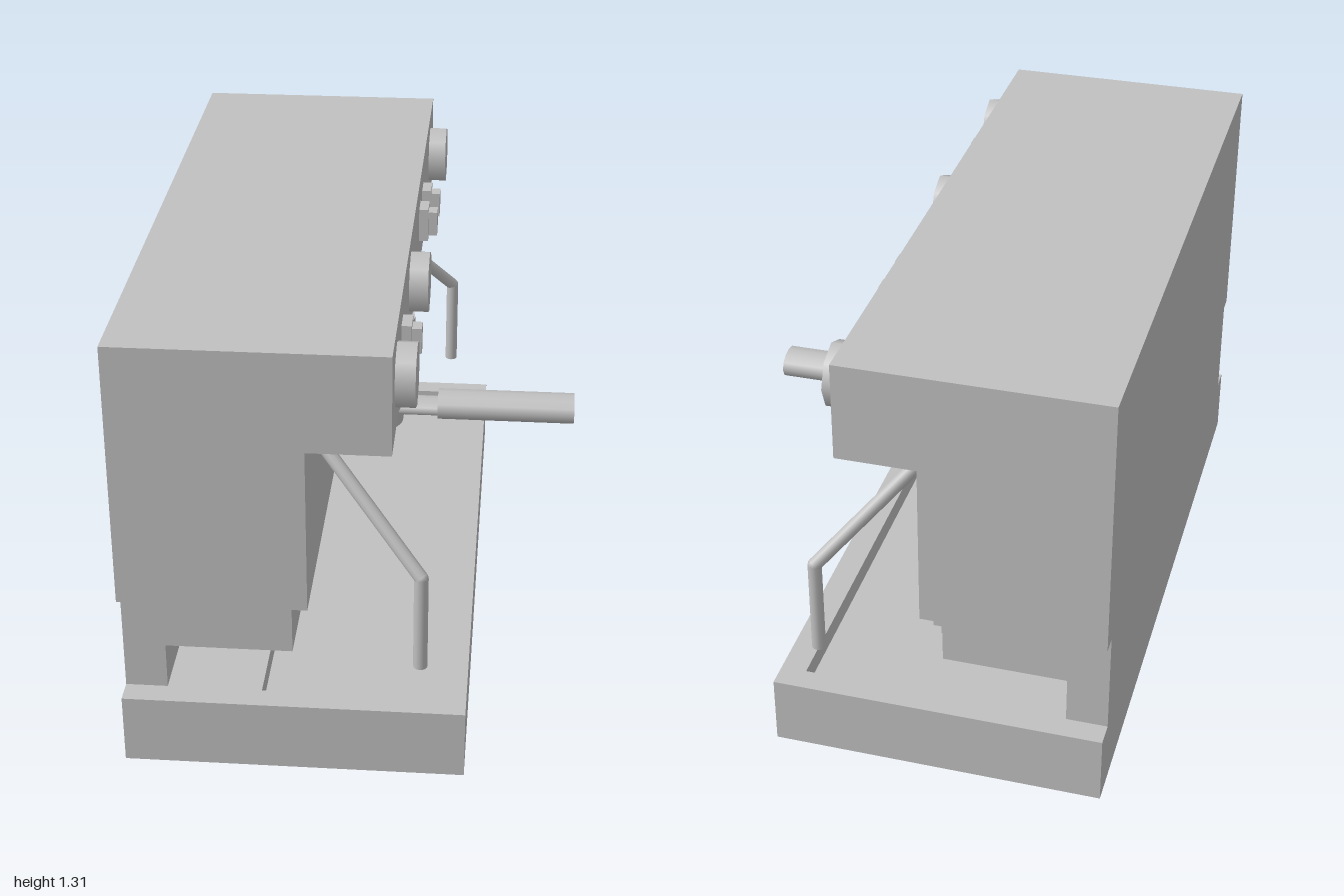
import * as THREE from 'three';

const steel = new THREE.MeshStandardMaterial({ color: 0xc0c0c0 });
steel.name = 'plain grey';

export function createModel() {
  const model = new THREE.Group();
  model.name = 'espressoMachine';

  const add = (name, geometry, parent = model) => {
    const mesh = new THREE.Mesh(geometry, steel);
    mesh.name = name;
    parent.add(mesh);
    return mesh;
  };
  // box given by its limits on each axis
  const box = (name, x0, x1, y0, y1, z0, z1, parent) => {
    const m = add(name, new THREE.BoxGeometry(x1 - x0, y1 - y0, z1 - z0), parent);
    m.position.set((x0 + x1) / 2, (y0 + y1) / 2, (z0 + z1) / 2);
    return m;
  };
  const polygon = (Type, points) => new Type(points.map(([x, y]) => new THREE.Vector2(x, y)));

  // base with a sunken drip tray
  box('baseBottom', -0.63, 0.34, 0, 0.15, -1, 1);
  const rim = polygon(THREE.Shape, [[-0.63, -1], [0.34, -1], [0.34, 1], [-0.63, 1]]);
  rim.holes.push(polygon(THREE.Path, [[-0.24, -0.93], [-0.24, 0.93], [0.265, 0.93], [0.265, -0.93]]));
  const rimMesh = add('dripTrayRim', new THREE.ExtrudeGeometry(rim, { depth: 0.06, bevelEnabled: false }));
  rimMesh.rotation.x = -Math.PI / 2;
  rimMesh.position.y = 0.15;

  // body: narrow foot, lower panel and overhanging housing
  box('backFoot', -0.63, -0.51, 0.21, 0.35, -0.93, 0.93);
  box('lowerPanel', -0.63, -0.15, 0.35, 0.525, -0.93, 0.93);
  const housing = polygon(THREE.Shape, [
    [-0.63, 0.525], [-0.1, 0.525], [-0.1, 1.02], [0.13, 1.02], [0.13, 1.31], [-0.63, 1.31],
  ]);
  add('housing', new THREE.ExtrudeGeometry(housing, { depth: 1.966, bevelEnabled: false })).position.z = -0.983;

  // octagonal knobs
  for (const z of [0.81, 0.22, -0.81]) {
    const knob = add('knob', new THREE.CylinderGeometry(0.093, 0.093, 0.055, 8));
    knob.rotation.z = -Math.PI / 2;
    knob.position.set(0.1575, 1.175, z);
  }

  // rocker switches: a plate and a raised button
  const addSwitch = (x, y, z, h, w, inset) => {
    const group = new THREE.Group();
    group.name = 'rockerSwitch';
    model.add(group);
    box('switchPlate', x, x + 0.028, y - h, y + h, z - w, z + w, group);
    box('switchButton', x + 0.028, x + 0.055, y - h + inset, y + h - inset, z - w + inset, z + w - inset, group);
  };
  for (const z of [0.597, -0.225, -0.38]) addSwitch(0.13, 1.178, z, 0.052, 0.037, 0.014);
  addSwitch(-0.15, 0.408, -0.793, 0.037, 0.054, 0.013);

  // brew group
  const brewGroup = new THREE.Group();
  brewGroup.name = 'brewGroup';
  model.add(brewGroup);
  const drum = (name, rTop, rBottom, y0, y1) => {
    const m = add(name, new THREE.CylinderGeometry(rTop, rBottom, y1 - y0, 20), brewGroup);
    m.position.set(0.023, (y0 + y1) / 2, 0);
  };
  drum('collar', 0.083, 0.083, 0.955, 1.02);
  drum('brewHead', 0.109, 0.109, 0.71, 0.955);
  drum('filterBasket', 0.088, 0.074, 0.595, 0.71);
  box('spout', 0, 0.046, 0.555, 0.595, -0.046, 0.046, brewGroup);

  // flattened handle
  const rod = (name, x0, x1, y, ry, rz) => {
    const m = add(name, new THREE.CylinderGeometry(1, 1, x1 - x0, 12), brewGroup);
    m.rotation.z = -Math.PI / 2;
    m.scale.set(ry, 1, rz);
    m.position.set((x0 + x1) / 2, y, 0);
  };
  rod('handleNeck', 0.085, 0.21, 0.65, 0.024, 0.05);
  rod('handleGrip', 0.207, 0.63, 0.658, 0.044, 0.06);

  // bent steam wands, mirrored
  for (const side of [1, -1]) {
    const wand = new THREE.Group();
    wand.name = side > 0 ? 'leftSteamWand' : 'rightSteamWand';
    model.add(wand);
    const path = [[-0.07, 1.02, 0.795], [-0.07, 0.94, 0.795], [0.21, 0.63, 0.957], [0.21, 0.34, 0.957]]
      .map(([x, y, z]) => new THREE.Vector3(x, y, z * side));
    for (let i = 0; i < 3; i++) {
      const dir = path[i + 1].clone().sub(path[i]);
      const pipe = add('wandPipe', new THREE.CylinderGeometry(0.02, 0.02, dir.length(), 12), wand);
      pipe.position.copy(path[i]).addScaledVector(dir, 0.5);
      pipe.quaternion.setFromUnitVectors(new THREE.Vector3(0, 1, 0), dir.normalize());
      if (i > 0) add('wandBend', new THREE.SphereGeometry(0.02, 12, 8), wand).position.copy(path[i]);
    }
  }

  return model;
}
